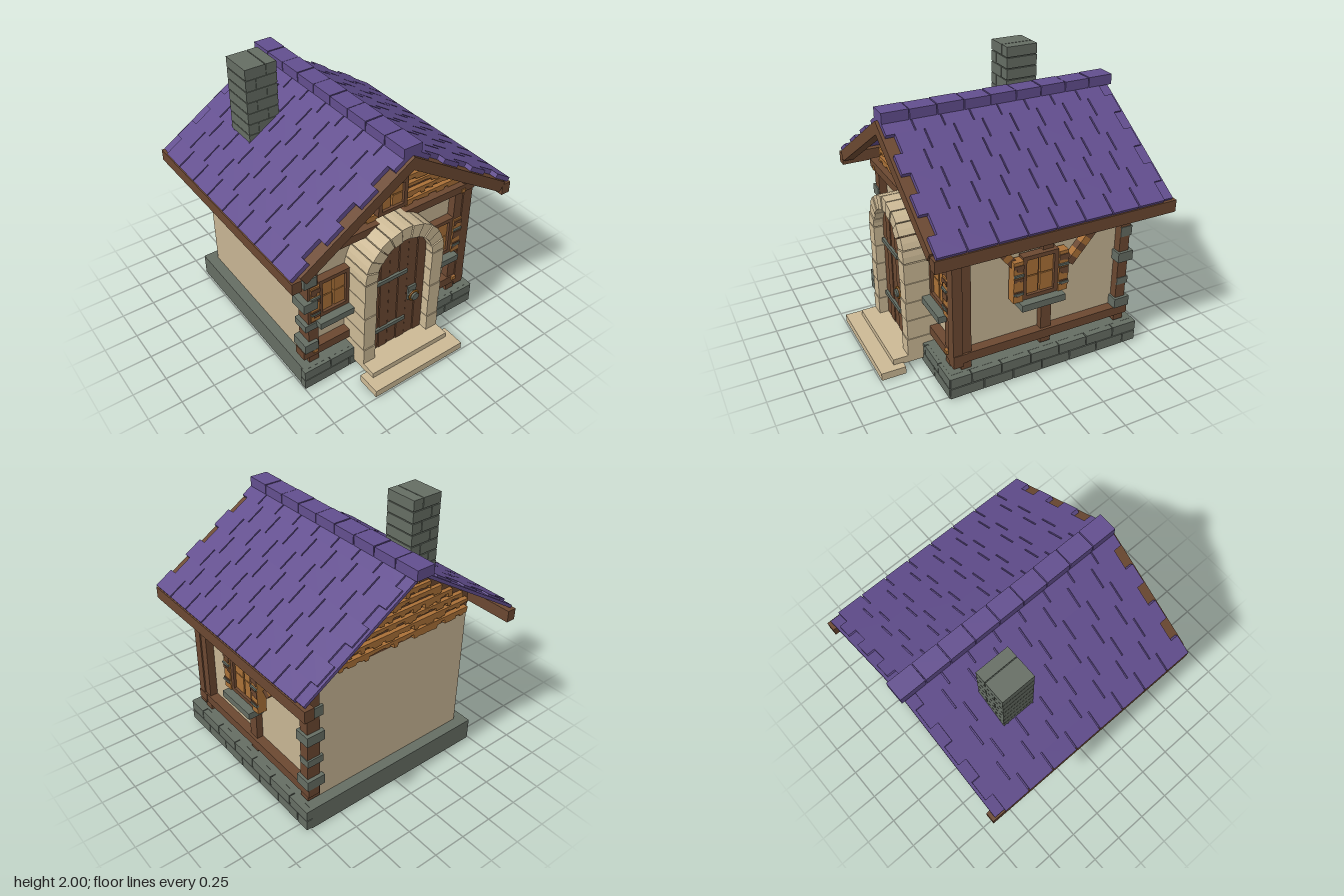
import * as THREE from 'three';

const mat = (name, color) => {
  const m = new THREE.MeshStandardMaterial({ color, flatShading: true });
  m.name = name;
  return m;
};

export function createModel() {
  const roofMat = mat('purple shingle', 0x624e8e);
  const plaster = mat('cream plaster', 0xc6b493);
  const paleStone = mat('pale stone', 0xccb995);
  const stone = mat('grey stone', 0x656d63);
  const timber = mat('dark timber', 0x6b4831);
  const wood = mat('honey wood', 0xa97037);
  const brass = mat('brass', 0x94601f);

  let seed = 7;
  const rand = () => (seed = (seed * 16807) % 2147483647) / 2147483647;

  const house = new THREE.Group();
  house.name = 'cottage';
  const group = (name, parent = house) => {
    const g = new THREE.Group();
    g.name = name;
    parent.add(g);
    return g;
  };
  const add = (parent, name, geo, m) => {
    const mesh = new THREE.Mesh(geo, m);
    mesh.name = name;
    parent.add(mesh);
    return mesh;
  };
  // Box given by its minimum and maximum along each axis
  const box = (parent, name, m, x0, x1, y0, y1, z0, z1) => {
    const b = add(parent, name, new THREE.BoxGeometry(x1 - x0, y1 - y0, z1 - z0), m);
    b.position.set((x0 + x1) / 2, (y0 + y1) / 2, (z0 + z1) / 2);
    return b;
  };
  const extrude = (pts, depth) => new THREE.ExtrudeGeometry(
    new THREE.Shape(pts.map(p => new THREE.Vector2(...p))), { depth, bevelEnabled: false });
  // Plank with a ragged lower edge
  const ragged = (w, h, rough, depth) => {
    const pts = [[w / 2, h], [-w / 2, h]];
    const n = Math.max(3, Math.round(w / 0.035));
    for (let i = 0; i < n; i++) {
      const y = rand() * rough;
      pts.push([-w / 2 + w * i / n, y], [-w / 2 + w * (i + 0.85) / n, y]);
    }
    pts.push([w / 2, rand() * rough]);
    return extrude(pts, depth);
  };

  // Foundation, with bricks facing the front and the model's left side
  const base = group('foundation');
  box(base, 'foundationCore', stone, -0.74, 0.74, 0, 0.17, -0.83, 0.63);
  for (let r = 0; r < 2; r++) {
    const y0 = 0.01 + r * 0.083, y1 = y0 + 0.076;
    const row = (from, to, shift, place) => {
      let a = from;
      for (let b = from + shift; a < to - 0.01; b += 0.225) {
        const e = to - b < 0.06 ? to : b;
        place(a, e - 0.007);
        a = e;
      }
    };
    row(-0.75, 0.785, r ? 0.22 : 0.38, (a, b) => box(base, 'frontBrick', stone, a, b, y0, y1, 0.6, 0.655));
    row(-0.83, 0.655, r ? 0.2 : 0.11, (a, b) => box(base, 'sideBrick', stone, 0.7, 0.785, y0, y1, a, b));
  }

  // Walls and gable core
  box(house, 'walls', plaster, -0.66, 0.66, 0.17, 1.14, -0.75, 0.53);
  const core = add(house, 'gableCore', extrude(
    [[-0.66, 1.13], [0.66, 1.13], [0.66, 1.3], [0, 1.73], [-0.66, 1.3]], 1.28), timber);
  core.position.z = -0.75;

  // Ragged gable planks, front and back
  for (const [name, z, turn] of [['frontGable', 0.53, 0], ['backGable', -0.75, Math.PI]]) {
    const g = group(name);
    g.position.z = z;
    g.rotation.y = turn;
    for (let i = 0; i < 8; i++) {
      const y = 1.14 + i * 0.066;
      const half = Math.min(0.63, (1.7 - y - 0.06) / 0.64);
      if (half < 0.05) continue;
      add(g, 'gablePlank', ragged(half * 2, 0.062, 0.04, 0.035 - i * 0.002), wood).position.y = y;
    }
  }
  box(house, 'gableStrap', stone, -0.23, 0.23, 1.482, 1.497, 0.53, 0.575);

  // Timber frame
  const frame = group('timberFrame');
  box(frame, 'frontLeftPost', timber, 0.58, 0.652, 0.17, 1.1, 0.5, 0.59);
  box(frame, 'cornerPost', timber, 0.65, 0.73, 0.2, 1.15, 0.53, 0.6);
  box(frame, 'sideFrontPost', timber, 0.64, 0.72, 0.17, 1.1, 0.465, 0.54);
  box(frame, 'frontRightPost', timber, -0.67, -0.59, 0.17, 1.1, 0.47, 0.59);
  box(frame, 'sideMiddlePost', timber, 0.64, 0.71, 0.18, 1.1, -0.15, -0.07);
  box(frame, 'sideBackPost', timber, 0.62, 0.72, 0.18, 1.1, -0.757, -0.68);
  box(frame, 'frontSill', timber, -0.72, 0.735, 0.23, 0.3, 0.5, 0.6);
  box(frame, 'sideSill', timber, 0.64, 0.73, 0.23, 0.3, -0.78, 0.6);
  box(frame, 'frontTopBeam', timber, -0.71, 0.735, 1.095, 1.157, 0.5, 0.61);
  box(frame, 'sideTopBeam', timber, 0.64, 0.73, 1.09, 1.17, -0.76, 0.6);
  for (const x of [-0.63, 0.63]) for (const y of [0.285, 1.11])
    box(frame, 'peg', wood, x - 0.018, x + 0.018, y - 0.015, y + 0.015, 0.6, 0.616);

  // Striped diagonal braces
  for (const [z0, y0, z1, y1] of [[0.09, 0.81, 0.33, 1.1], [-0.28, 0.775, -0.555, 1.1]]) {
    const g = group('brace');
    const len = Math.hypot(z1 - z0, y1 - y0), n = 8;
    g.position.set(0.685, y0, z0);
    g.rotation.x = Math.atan2(z1 - z0, y1 - y0);
    for (let i = 0; i < n; i++)
      box(g, 'braceBand', i % 2 ? wood : timber, -0.03, 0.03, len * i / n, len * (i + 1) / n, -0.03, 0.03);
  }

  // Corner stones on two corners
  [[0.3, 0.375], [0.485, 0.54], [0.68, 0.755], [0.875, 0.95]].forEach(([y0, y1], i) => {
    const out = i % 2 ? 0 : 0.015;
    box(house, 'frontCornerStone', stone, -0.70 - out, -0.6 - out / 2, y0, y1, 0.47, 0.6 + out);
    box(house, 'backCornerStone', stone, 0.6, 0.725 + out, y0, y1, -0.77 - out, -0.68 + out);
  });

  // Window facing +z, standing on its local origin
  const windowUnit = (name, w, h, shutters, sill) => {
    const g = group(name);
    const e = 0.03, d = 0.05;
    for (const s of [-1, 1]) {
      box(g, 'frameSide', timber, s * (w / 2 - e / 2) - e / 2, s * (w / 2 - e / 2) + e / 2, 0, h, 0, d + 0.01);
      if (!shutters.includes(s)) continue;
      const c = s * (w / 2 + 0.036);
      box(g, 'shutter', wood, c - 0.036, c + 0.036, 0, h - 0.02, 0, 0.07);
      for (const y of [0.03, 0.13, 0.23]) {
        const p = add(g, 'shutterGrain', ragged(0.072, 0.055, 0.04, 0.006), timber);
        p.position.set(c, y, 0.07);
      }
      for (const y of [0.06, 0.2]) box(g, 'shutterHinge', stone, c - 0.036, c + 0.036, y, y + 0.016, 0.06, 0.082);
    }
    box(g, 'frameTop', timber, -w / 2, w / 2, h - e, h, 0, d + 0.01);
    box(g, 'frameBottom', timber, -w / 2, w / 2, 0, e, 0, d + 0.01);
    box(g, 'windowBack', timber, -w / 2 + e, w / 2 - e, e, h - e, 0, d - 0.03);
    const pw = w / 2 - e - 0.008, ph = h / 2 - e - 0.004;
    for (const s of [-1, 1]) for (const t of [-1, 1]) {
      const x = s * (pw / 2 + 0.008), y = h / 2 + t * (ph / 2 + 0.004);
      box(g, 'pane', wood, x - pw / 2, x + pw / 2, y - ph / 2, y + ph / 2, 0, d - 0.01);
    }
    if (sill) box(g, 'sill', stone, -w / 2 - 0.03, w / 2 + 0.03, -0.05, 0, 0, 0.12);
    return g;
  };
  windowUnit('frontRightWindow', 0.25, 0.32, [-1], true).position.set(-0.455, 0.558, 0.53);
  windowUnit('frontLeftWindow', 0.25, 0.32, [1], true).position.set(0.455, 0.558, 0.53);
  windowUnit('gableWindow', 0.24, 0.23, [], false).position.set(0, 1.212, 0.55);
  const side = windowUnit('sideWindow', 0.27, 0.33, [-1, 1], true);
  side.position.set(0.68, 0.602, -0.038);
  side.rotation.y = Math.PI / 2;

  // Stone doorway: stacked jambs and a ring of wedge stones
  const arch = group('doorway');
  const cy = 0.84, rIn = 0.235, rOut = 0.335;
  const joints = [0.09, 0.235, 0.39, 0.535, 0.685, cy];
  for (const s of [-1, 1]) for (let i = 0; i < 5; i++) {
    const x = s * (rIn + rOut) / 2, k = i % 2 * 0.004;
    box(arch, 'jambStone', paleStone, x - 0.05, x + 0.05, joints[i], joints[i + 1] - 0.005, 0.52, 0.77 - k);
  }
  const count = 11;
  for (let i = 0; i < count; i++) {
    const a = Math.PI * i / count + 0.01, b = Math.PI * (i + 1) / count - 0.01;
    const at = (r, t) => [r * Math.cos(t), cy + r * Math.sin(t)];
    const w = add(arch, 'archStone', extrude(
      [at(rIn, a), at(rOut, a), at(rOut, (a + b) / 2), at(rOut, b), at(rIn, b), at(rIn, (a + b) / 2)], 0.25 - i % 2 * 0.006), paleStone);
    w.position.z = 0.52;
  }

  // Plank door with straps and a ring handle
  const door = group('door');
  for (let i = 0; i < 6; i++) {
    const x0 = -0.235 + i * 0.0785, x1 = x0 + 0.073;
    const top = x => cy + Math.sqrt(Math.max(0, 0.24 ** 2 - x * x));
    add(door, 'doorPlank', extrude([[x0, 0.09], [x1, 0.09], [x1, top(x1)], [x0, top(x0)]], 0.17), timber).position.z = 0.53 + i % 2 * 0.005;
  }
  box(door, 'doorBacking', timber, -0.23, 0.23, 0.09, 0.85, 0.53, 0.68);
  for (const y of [0.27, 0.72]) box(door, 'strapHinge', stone, -0.22, 0.065, y, y + 0.03, 0.69, 0.72);
  box(door, 'lockPlate', stone, 0.09, 0.16, 0.44, 0.56, 0.69, 0.715);
  add(door, 'ringHandle', new THREE.TorusGeometry(0.038, 0.009, 6, 16), brass).position.set(0.12, 0.49, 0.74);
  const knob = add(door, 'knob', new THREE.CylinderGeometry(0.03, 0.03, 0.05, 12), stone);
  knob.rotation.x = Math.PI / 2;
  knob.position.set(0.12, 0.49, 0.735);

  // Steps
  box(house, 'upperStep', paleStone, -0.335, 0.335, 0.045, 0.1, 0.62, 0.88);
  box(house, 'lowerStep', paleStone, -0.39, 0.39, 0, 0.057, 0.81, 0.99);

  // Roof slopes: deck, staggered shingles, barge board and eave beam
  const slope = 0.57, len = 1.052, rows = 7, pitch = 0.207;
  for (const s of [-1, 1]) {
    const g = group(s > 0 ? 'leftRoof' : 'rightRoof');
    g.position.y = 1.74;
    g.rotation.z = -s * slope;
    const slab = (name, m, a, b, y0, y1, z0, z1) =>
      box(g, name, m, Math.min(s * a, s * b), Math.max(s * a, s * b), y0, y1, z0, z1);
    slab('roofDeck', roofMat, 0, len - 0.01, 0, 0.022, -0.955, 0.71);
    for (let r = 0; r < rows; r++) for (let k = 0; k < 8; k++) {
      const z = (r % 2 ? 0.71 : 0.77) - k * pitch;
      slab('shingle', roofMat, len * r / rows, len * (r + 1) / rows, 0.002, 0.035, z - pitch + 0.01, z);
    }
    slab('bargeBoard', timber, 0, 1.0, -0.08, 0, 0.71, 0.79);
    const x = s * 0.865;
    box(house, 'eaveBeam', timber, x - 0.035, x + 0.035, 1.09, 1.178, -0.98, 0.785);
  }

  // Ridge caps
  for (let i = 0; i < 9; i++) {
    const z = 0.77 - i * 0.195;
    box(house, 'ridgeCap', roofMat, -0.07, 0.07, 1.735, 1.81 - i % 2 * 0.003, z - 0.188, z);
  }

  // Chimney: staggered brick courses around a core
  const chimney = group('chimney');
  box(chimney, 'chimneyCore', stone, -0.51, -0.29, 1.3, 1.99, -0.55, -0.32);
  for (let r = 0; r < 8; r++) {
    const y1 = 2 - r * 0.083, y0 = y1 - 0.076, cut = r % 2 ? 0.08 : 0.16;
    for (const [a, b] of [[0, cut - 0.006], [cut, 0.24]])
      box(chimney, 'chimneyBrick', stone, -0.52 + a, -0.52 + b, y0, y1, -0.56, -0.315);
  }
  return house;
}
